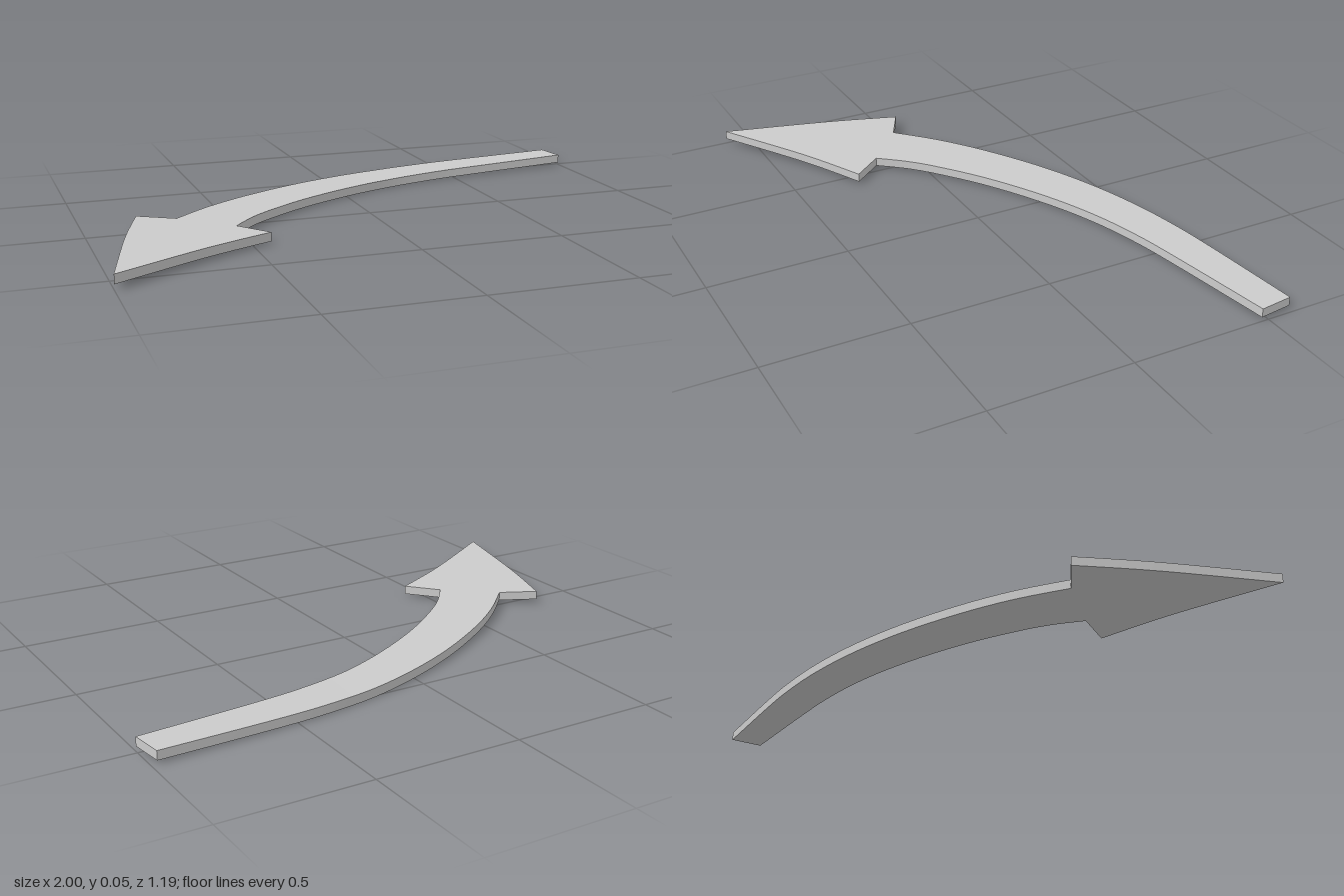
import * as THREE from 'three';
import { toCreasedNormals } from 'three/addons/utils/BufferGeometryUtils.js';

const THICKNESS = 0.031;

// Gentle bend of the slab: lowest near x = 0.2, rising to both ends
const baseY = (x) => 0.0148 * Math.pow(Math.abs(x - 0.2), 1.25);

const curve = (pts) => new THREE.SplineCurve(pts.map(([x, z]) => new THREE.Vector2(x, z)));

// Slab from rows of (x, z) points; rows run from tail to tip, points from back to front.
// startWalls lists the segments of the first row that get an end wall.
function slab(rows, startWalls) {
  const pos = [];
  const lo = (p) => new THREE.Vector3(p.x, baseY(p.x), p.y);
  const hi = (p) => new THREE.Vector3(p.x, baseY(p.x) + THICKNESS, p.y);
  const tri = (a, b, c) => {
    if (new THREE.Triangle(a, b, c).getArea() < 1e-9) return;
    for (const v of [a, b, c]) pos.push(v.x, v.y, v.z);
  };
  const quad = (a, b, c, d) => { tri(a, b, c); tri(a, c, d); };
  const wall = (p, q) => quad(lo(p), lo(q), hi(q), hi(p));

  for (let i = 0; i < rows.length - 1; i++) {
    const r = rows[i], s = rows[i + 1], last = r.length - 1;
    for (let j = 0; j < last; j++) {
      quad(hi(r[j]), hi(s[j]), hi(s[j + 1]), hi(r[j + 1]));
      quad(lo(r[j]), lo(r[j + 1]), lo(s[j + 1]), lo(s[j]));
    }
    wall(r[0], s[0]);
    wall(s[last], r[last]);
  }
  for (const j of startWalls) wall(rows[0][j + 1], rows[0][j]);

  const geo = new THREE.BufferGeometry();
  geo.setAttribute('position', new THREE.Float32BufferAttribute(pos, 3));
  return toCreasedNormals(geo, Math.PI / 6);
}

export function createModel() {
  const group = new THREE.Group();
  group.name = 'curvedArrow';
  const material = new THREE.MeshStandardMaterial({ color: 0xcccccc });
  const add = (name, geo) => {
    const mesh = new THREE.Mesh(geo, material);
    mesh.name = name;
    group.add(mesh);
  };

  // Shaft: widening band between two curved edges
  const back = curve([[0.98, -0.597], [0.6, -0.571], [0.4, -0.55], [0.2, -0.512], [0, -0.447],
    [-0.2, -0.356], [-0.4, -0.237], [-0.56, -0.118], [-0.695, 0.01]]);
  const front = curve([[0.995, -0.478], [0.6, -0.427], [0.4, -0.394], [0.2, -0.34], [0, -0.252],
    [-0.2, -0.135], [-0.36, -0.015], [-0.45, 0.068], [-0.525, 0.16]]);
  const shaftRows = [];
  for (let i = 0; i <= 32; i++) shaftRows.push([back.getPoint(i / 32), front.getPoint(i / 32)]);
  add('shaft', slab(shaftRows, [0]));

  // Head: barbs and neck corners converging on the tip, outer sides slightly bowed
  const tip = [-1, 0.595];
  const sides = [
    curve([[-0.82, -0.058], [-0.903, 0.21], tip]),
    curve([[-0.695, 0.01], tip]),
    curve([[-0.525, 0.16], tip]),
    curve([[-0.437, 0.27], [-0.68, 0.396], tip]),
  ];
  const headRows = [];
  for (let i = 0; i <= 12; i++) headRows.push(sides.map((s) => s.getPoint(i / 12)));
  add('arrowHead', slab(headRows, [0, 2]));

  return group;
}
